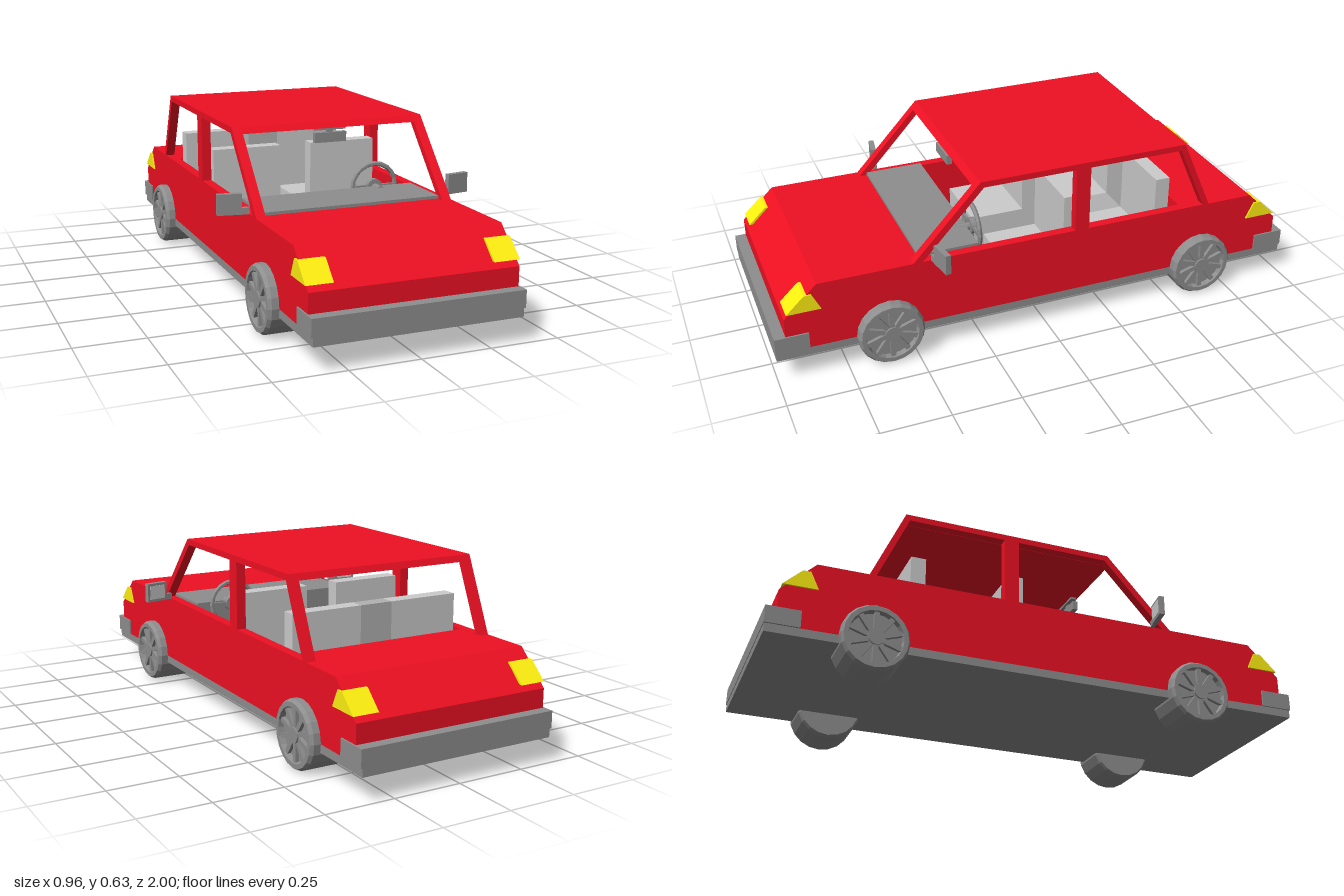
import * as THREE from 'three';

const mat = (color) => new THREE.MeshStandardMaterial({ color, flatShading: true });
const red = mat(0xee1022), grey = mat(0x8e8e8e), light = mat(0xcccccc);
const mid = mat(0xb2b2b2), yellow = mat(0xfff010), cyan = mat(0x20d0e0);

function add(parent, name, geometry, material) {
  const mesh = new THREE.Mesh(geometry, material);
  mesh.name = name;
  parent.add(mesh);
  return mesh;
}

// Box given by its limits on each axis
function block(parent, name, material, [x0, x1], [y0, y1], [z0, z1]) {
  const mesh = add(parent, name, new THREE.BoxGeometry(x1 - x0, y1 - y0, z1 - z0), material);
  mesh.position.set((x0 + x1) / 2, (y0 + y1) / 2, (z0 + z1) / 2);
  return mesh;
}

// Side profile of [z, y] points, extruded across x from x0 to x1
function profile(points, x0, x1, holes = []) {
  const toVectors = (list) => list.map(([z, y]) => new THREE.Vector2(z, y));
  const shape = new THREE.Shape(toVectors(points));
  holes.forEach((h) => shape.holes.push(new THREE.Path(toVectors(h))));
  const g = new THREE.ExtrudeGeometry(shape, { depth: x1 - x0, bevelEnabled: false });
  g.rotateY(-Math.PI / 2);
  return g.translate(x1, 0, 0);
}

// Wheel with its outer face towards +x
function makeWheel() {
  const wheel = new THREE.Group();
  const section = [[0, -0.08], [0.113, -0.08], [0.12, -0.07], [0.12, 0.068], [0.112, 0.08],
    [0.096, 0.08], [0.092, 0.06], [0, 0.06]].map(([r, h]) => new THREE.Vector2(r, h));
  add(wheel, 'tyre', new THREE.LatheGeometry(section, 20).rotateZ(-Math.PI / 2), grey);
  add(wheel, 'hub', new THREE.CylinderGeometry(0.028, 0.028, 0.022, 16).rotateZ(-Math.PI / 2), grey).position.x = 0.068;
  for (let i = 0; i < 10; i++) {
    const spoke = new THREE.BoxGeometry(0.014, 0.075, 0.018).translate(0.066, 0.057, 0);
    add(wheel, 'spoke', spoke.rotateX((i * Math.PI) / 5), grey);
  }
  return wheel;
}

function makeSteeringWheel() {
  const steering = new THREE.Group();
  add(steering, 'steeringRim', new THREE.TorusGeometry(0.087, 0.009, 6, 20), grey);
  add(steering, 'steeringHub', new THREE.CylinderGeometry(0.03, 0.03, 0.02, 16).rotateX(Math.PI / 2), grey);
  for (const a of [0, Math.PI, -Math.PI / 2]) {
    add(steering, 'steeringSpoke', new THREE.BoxGeometry(0.065, 0.016, 0.01).translate(0.053, 0, 0).rotateZ(a), grey);
  }
  add(steering, 'steeringColumn', new THREE.CylinderGeometry(0.014, 0.014, 0.06, 10).rotateX(Math.PI / 2), grey).position.z = 0.03;
  return steering;
}

// Door mirror for the +x side
function makeDoorMirror() {
  const mirror = new THREE.Group();
  block(mirror, 'mirrorArm', grey, [0, 0.045], [0, 0.023], [-0.008, 0.008]);
  block(mirror, 'mirrorCase', grey, [0.026, 0.112], [0, 0.073], [-0.01, 0.01]);
  block(mirror, 'mirrorGlass', light, [0.036, 0.102], [0.01, 0.063], [-0.012, -0.008]);
  return mirror;
}

export function createModel() {
  const car = new THREE.Group();
  car.name = 'car';
  const belt = 0.367, top = 0.635, inner = 0.333, outer = 0.368;

  // Side panels with pillars and window openings
  const outline = [[0.96, 0.12], [0.96, 0.25], [0.84, belt], [0.5, belt], [0.25, top], [-0.54, top],
    [-0.66, belt], [-0.84, belt], [-0.96, 0.25], [-0.96, 0.12]];
  const windows = [
    [[0.465, belt + 0.001], [0.238, 0.613], [-0.11, 0.613], [-0.11, belt + 0.001]],
    [[-0.165, belt + 0.001], [-0.165, 0.613], [-0.525, 0.613], [-0.635, belt + 0.001]],
  ];
  add(car, 'leftSide', profile(outline, inner, outer, windows), red);
  add(car, 'rightSide', profile(outline, -outer, -inner, windows), red);

  // Bonnet, boot and roof between the side panels
  add(car, 'bonnet', profile([[0.96, 0.12], [0.96, 0.25], [0.84, belt], [0.47, belt], [0.47, 0.12]], -inner, inner), red);
  add(car, 'boot', profile([[-0.96, 0.12], [-0.55, 0.12], [-0.55, belt], [-0.84, belt], [-0.96, 0.25]].reverse(), -inner, inner), red);
  add(car, 'roof', profile([[0.27, 0.612], [0.25, top], [-0.54, top], [-0.55, 0.612]], -inner, inner), red);

  // Floor pan, bumpers and lamps
  block(car, 'floorPan', grey, [-outer, outer], [0.09, 0.121], [-0.998, 0.998]);
  for (const end of [1, -1]) {
    const name = end > 0 ? 'front' : 'rear';
    block(car, name + 'Bumper', grey, [-0.374, 0.374], [0.12, 0.182], end > 0 ? [0.88, 1] : [-1, -0.88]);
    const lamp = [[0.83, 0.27], [0.952, 0.27], [0.887, 0.332], [0.86, 0.332]].map(([z, y]) => [z * end, y]);
    add(car, name + 'LeftLamp', profile(lamp, 0.28, 0.374), yellow);
    add(car, name + 'RightLamp', profile(lamp, -0.374, -0.28), yellow);
  }

  // Wheels and door mirrors
  for (const side of [1, -1]) {
    for (const z of [0.595, -0.633]) {
      const wheel = makeWheel();
      wheel.name = (z > 0 ? 'front' : 'rear') + (side > 0 ? 'LeftWheel' : 'RightWheel');
      wheel.position.set(side * 0.325, 0.12, z);
      if (side < 0) wheel.rotation.y = Math.PI;
      car.add(wheel);
    }
    const mirror = makeDoorMirror();
    mirror.name = side > 0 ? 'leftDoorMirror' : 'rightDoorMirror';
    mirror.position.set(side * 0.367, 0.368, 0.428);
    mirror.scale.x = side;
    mirror.rotation.y = side * 0.17;
    car.add(mirror);

    // Front seat and outer part of the rear bench
    const span = side > 0 ? [0.063, 0.332] : [-0.332, -0.063];
    block(car, 'frontSeatBack', light, span, [0.12, 0.49], [-0.135, -0.08]);
    block(car, 'frontSeatCushion', light, span, [0.12, 0.24], [-0.08, 0.13]);
    block(car, 'rearSeatBack', light, span, [0.12, 0.49], [-0.505, -0.45]);
    block(car, 'rearSeatCushion', light, span, [0.12, 0.24], [-0.45, -0.25]);
  }
  block(car, 'rearSeatMiddle', mid, [-0.063, 0.063], [0.12, 0.49], [-0.505, -0.45]);
  block(car, 'rearCushionMiddle', mid, [-0.063, 0.063], [0.12, 0.24], [-0.45, -0.25]);

  // Dashboard with screen and steering wheel
  block(car, 'dashboard', grey, [-inner, inner], [0.2, 0.378], [0.25, 0.472]);
  block(car, 'dashScreen', cyan, [-0.055, 0.055], [0.28, 0.345], [0.246, 0.252]);
  const steering = makeSteeringWheel();
  steering.name = 'steeringWheel';
  steering.position.set(0.195, 0.37, 0.224);
  car.add(steering);

  // Interior mirror hanging from the roof
  block(car, 'interiorMirrorMount', grey, [-0.061, 0.061], [0.604, 0.613], [0.24, 0.262]);
  block(car, 'interiorMirrorStem', grey, [-0.012, 0.012], [0.59, 0.606], [0.248, 0.26]);
  block(car, 'interiorMirror', grey, [-0.061, 0.061], [0.56, 0.596], [0.248, 0.268]);
  return car;
}
